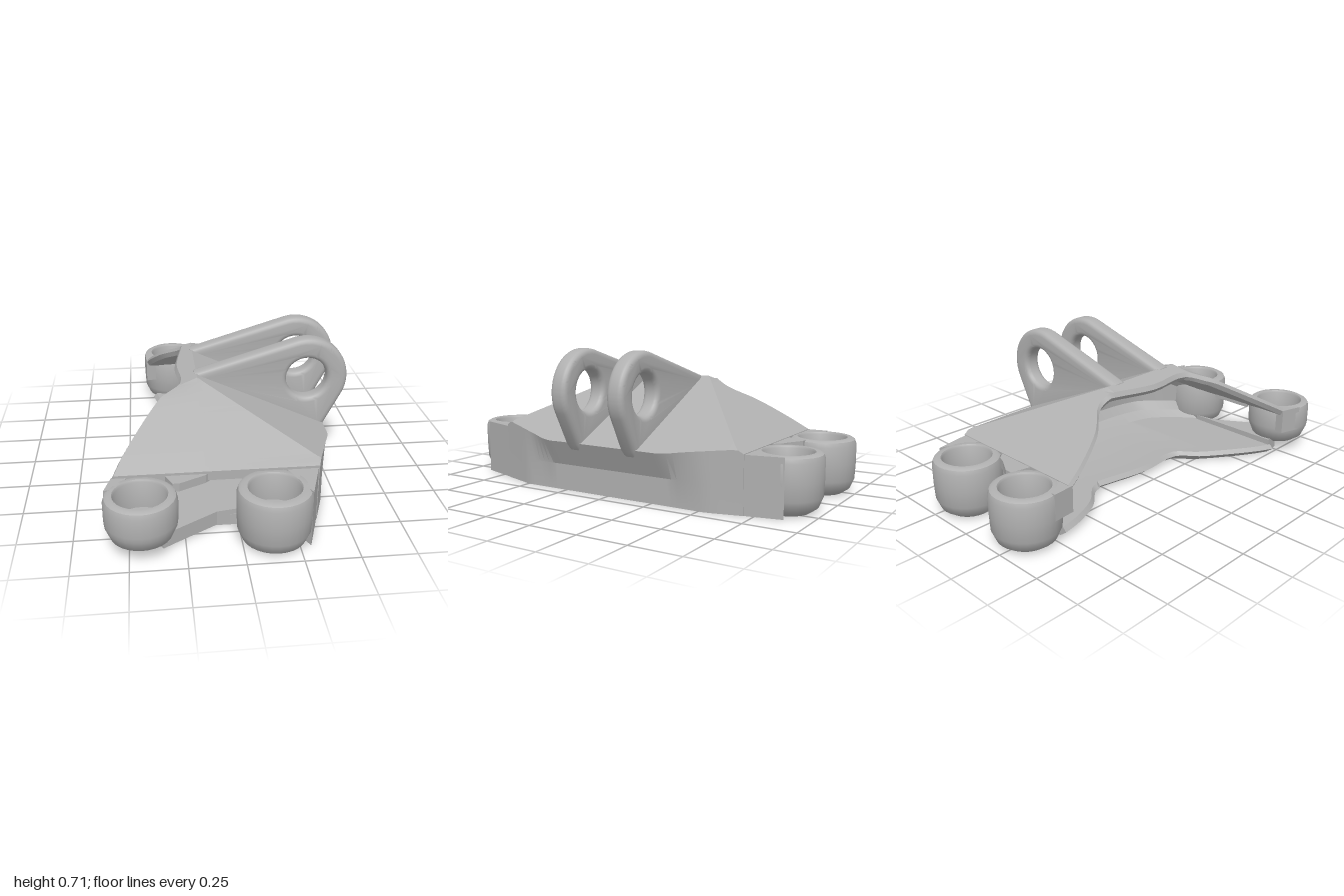
import * as THREE from 'three';
import { toCreasedNormals } from 'three/addons/utils/BufferGeometryUtils.js';

const grey = new THREE.MeshStandardMaterial({ color: 0xb0b0b0 });
grey.name = 'plain grey';

const BASE = 0.005;
const RIM = 0.28;

// Height of the roof: two end slopes, a slope towards +x and a slight fall towards -x
function endSlope(z) {
  return Math.max(RIM, 0.555 - 0.585 * Math.max(0, Math.abs(z) - 0.24));
}
function roof(x, z) {
  const sideSlope = 0.555 - 0.46 * (x + 0.15);
  const backSlope = 0.555 + 0.3 * (x + 0.15);
  return Math.min(endSlope(z), sideSlope, backSlope);
}

// C-shaped cross-section of the hollow body, counter-clockwise, open towards -x
function section(xL, xR, z) {
  const wall = Math.min(xR - 0.003, 0.432);
  const inner = wall - 0.05 - 0.2 * (z / 0.7) ** 4; // the bowl closes in towards the bosses
  const crease = Math.min(xR - 0.01, -0.15 + (0.555 - endSlope(z)) / 0.46);
  const first = Math.max(xL + 0.02, -0.15);
  const xs = [xR, Math.max(crease, first + 0.005), first, xL + 0.012];
  const lip = xL + (z < -0.3 ? 0.035 : 0.055);
  const pts = [[lip, 0.035], [lip + 0.04, BASE], [wall, BASE], [wall, 0.135]];
  xs.forEach(x => pts.push([x, roof(x, z)]));
  pts.push([xL, roof(xL, z) - 0.02]);
  const soffit = [xL + 0.015, Math.max(first, xL + 0.03), Math.min(Math.max(crease, first + 0.02), inner - 0.08), inner - 0.06];
  soffit.forEach(x => pts.push([x, roof(x, z) - 0.045]));
  pts.push([inner - 0.01, roof(inner, z) - 0.075], [inner, 0.14], [inner - 0.03, 0.09], [inner - 0.1, 0.06], [lip + 0.02, 0.055]);
  return pts;
}

function makeBody() {
  // x of the -x edge, x of the +x edge, z
  const outline = [
    [-0.39, 0.395, -0.705], [-0.365, 0.42, -0.6], [-0.3, 0.457, -0.45], [-0.2, 0.488, -0.33],
    [-0.21, 0.49, -0.24], [-0.25, 0.49, 0], [-0.245, 0.49, 0.24], [-0.34, 0.488, 0.33],
    [-0.43, 0.45, 0.45], [-0.525, 0.4, 0.6], [-0.57, 0.37, 0.69],
  ];
  const curve = new THREE.CatmullRomCurve3(outline.map(p => new THREE.Vector3(...p)));
  const rows = curve.getPoints((outline.length - 1) * 4).map(p => ({ z: p.z, pts: section(p.x, p.y, p.z) }));
  const n = rows[0].pts.length;
  const pos = [], idx = [];
  rows.forEach(r => r.pts.forEach(p => pos.push(p[0], p[1], r.z)));
  for (let i = 0; i < rows.length - 1; i++) {
    for (let j = 0; j < n; j++) {
      const a = i * n + j, b = i * n + (j + 1) % n;
      idx.push(a, b, b + n, a, b + n, a + n);
    }
  }
  // end caps
  [0, rows.length - 1].forEach(i => {
    const flat = rows[i].pts.map(p => new THREE.Vector2(p[0], p[1]));
    THREE.ShapeUtils.triangulateShape(flat, []).forEach(([a, b, c]) => {
      const o = i * n;
      if (i === 0) idx.push(o + a, o + c, o + b);
      else idx.push(o + a, o + b, o + c);
    });
  });
  const geo = new THREE.BufferGeometry();
  geo.setAttribute('position', new THREE.Float32BufferAttribute(pos, 3));
  geo.setIndex(idx);
  return toCreasedNormals(geo, 0.4);
}

// Bolt boss: rounded foot, counterbored cup and a through hole
function makeBoss(r, bottom) {
  const profile = [
    [0.058, bottom], [r - 0.06, bottom], [r - 0.025, bottom + 0.025], [r - 0.004, bottom + 0.075],
    [r, 0.16], [r, RIM - 0.03], [r - 0.008, RIM - 0.008], [r - 0.022, RIM],
    [0.122, RIM], [0.116, RIM - 0.01], [0.116, 0.14], [0.058, 0.14], [0.058, bottom],
  ].map(p => new THREE.Vector2(p[0], p[1]));
  return toCreasedNormals(new THREE.LatheGeometry(profile, 28), 0.7);
}

// Flat plate from (x, z) corners between two heights
function makePlate(corners, y0, y1) {
  const shape = new THREE.Shape(corners.map(([x, z]) => new THREE.Vector2(x, -z)));
  const geo = new THREE.ExtrudeGeometry(shape, { depth: y1 - y0, bevelEnabled: false });
  geo.rotateX(-Math.PI / 2);
  geo.translate(0, y0, 0);
  return geo;
}

// Upright lug with a pin hole and rounded edges
function makeLug() {
  const cx = 0.4, cy = 0.51, r = 0.205;
  const s = new THREE.Shape();
  s.moveTo(-0.17, 0.51);
  s.lineTo(0.4, 0.25);
  s.lineTo(0.47, 0.22);
  s.lineTo(0.497, 0.255);
  s.absarc(cx, cy, r, -0.5, 1.87, false);
  s.lineTo(-0.16, 0.555);
  s.closePath();
  const hole = new THREE.Path();
  hole.absarc(cx, cy, 0.103, 0, Math.PI * 2, true);
  s.holes.push(hole);
  const b = 0.026;
  const geo = new THREE.ExtrudeGeometry(s, {
    depth: 0.09 - 2 * b, bevelEnabled: true, bevelThickness: b, bevelSize: b,
    bevelOffset: -b, bevelSegments: 4, curveSegments: 32,
  });
  geo.translate(0, 0, -0.045 + b);
  return toCreasedNormals(geo, 0.6);
}

export function createModel() {
  const model = new THREE.Group();
  model.name = 'bracket';
  const add = (name, geo, x = 0, y = 0, z = 0) => {
    const mesh = new THREE.Mesh(geo, grey);
    mesh.name = name;
    mesh.position.set(x, y, z);
    model.add(mesh);
  };

  add('hollowBody', makeBody());

  // lugs
  const lug = makeLug();
  add('frontLug', lug, 0, 0, 0.16);
  add('backLug', lug, 0, 0, -0.16);

  // bolt bosses
  add('frontOuterBoss', makeBoss(0.163, 0.06), -0.443, 0, 0.828);
  add('frontInnerBoss', makeBoss(0.17, BASE), 0.143, 0, 0.825);
  add('backOuterBoss', makeBoss(0.165, BASE), -0.235, 0, -0.832);
  add('backInnerBoss', makeBoss(0.165, BASE), 0.197, 0, -0.832);

  // webs joining the roof to the bosses
  add('frontRoofWeb', makePlate([[-0.34, 0.67], [-0.3, 0.76], [-0.27, 0.76], [-0.15, 0.7], [-0.12, 0.67]], 0.24, RIM));
  add('frontEdgeWeb', makePlate([[-0.568, 0.68], [-0.6, 0.79], [-0.565, 0.78], [-0.5, 0.69]], 0.15, RIM));
  add('backRoofWeb', makePlate([[-0.12, -0.69], [0.1, -0.69], [0.06, -0.74], [0.02, -0.755], [-0.06, -0.8], [-0.1, -0.8]], 0.23, RIM));
  add('backEdgeWeb', makePlate([[-0.39, -0.69], [-0.398, -0.8], [-0.36, -0.8], [-0.3, -0.71]], 0.15, RIM));

  // solid cheeks carrying the side wall to the inner bosses
  add('frontCheek', makePlate([[0.366, 0.685], [0.3, 0.89], [0.275, 0.84], [0.23, 0.71], [0.2, 0.66]], BASE, RIM));
  add('backCheek', makePlate([[0.391, -0.7], [0.355, -0.88], [0.335, -0.82], [0.28, -0.71], [0.26, -0.68]], BASE, RIM));

  // low ties between the feet of the bosses
  add('frontTie', makePlate([[-0.49, 0.68], [-0.48, 0.76], [-0.39, 0.8], [-0.35, 0.86], [-0.29, 0.82], [-0.1, 0.7], [0.02, 0.68]], 0.015, 0.085));
  add('backTie', makePlate([[-0.12, -0.69], [-0.1, -0.84], [-0.07, -0.84], [0.01, -0.75], [0.08, -0.69]], 0.015, 0.1));

  return model;
}
